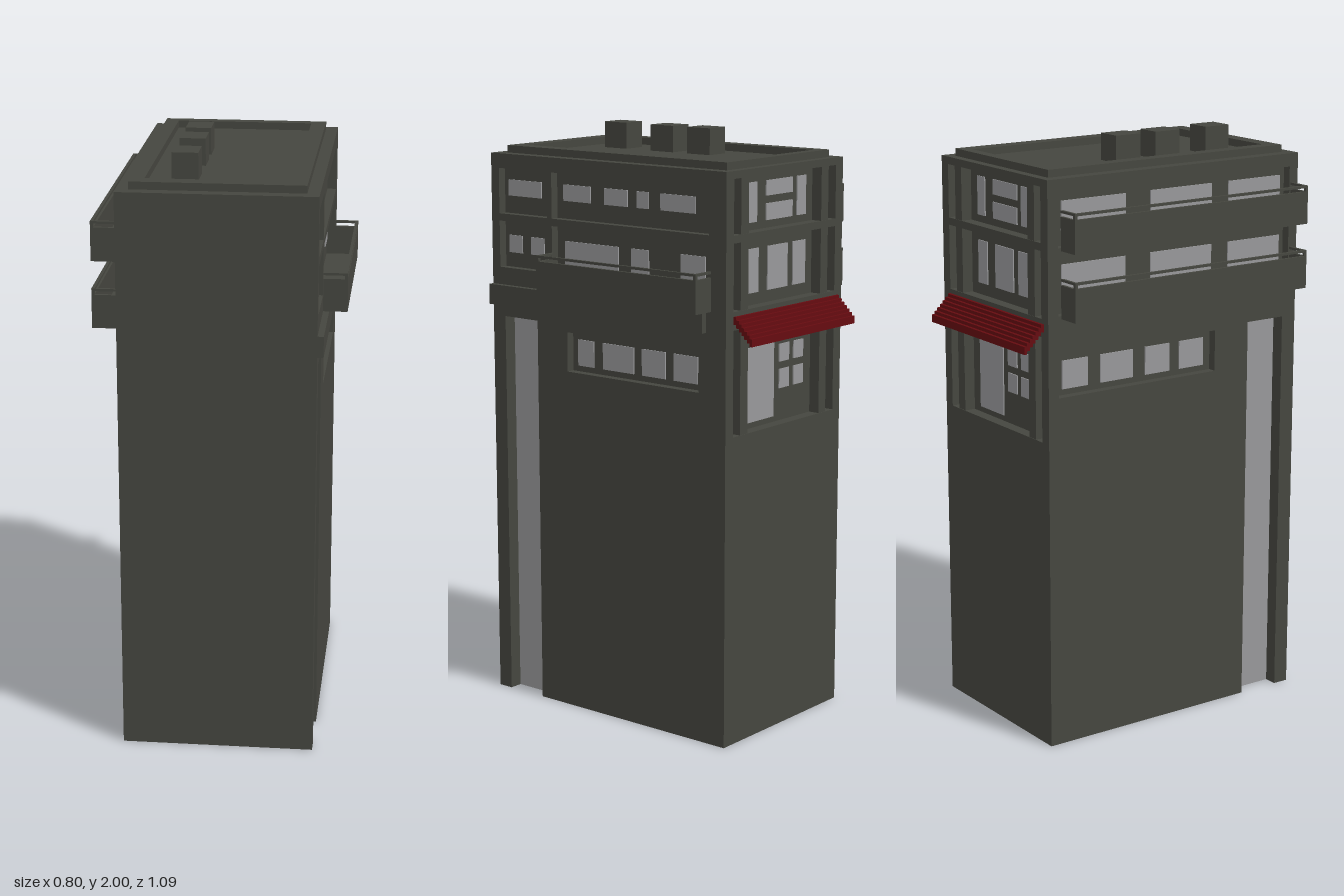
import * as THREE from 'three';

export function createModel() {
  const model = new THREE.Group();
  model.name = 'building';
  const material = (name, color) => {
    const m = new THREE.MeshStandardMaterial({ color, side: THREE.DoubleSide });
    m.name = name;
    return m;
  };
  const concrete = material('dark concrete', 0x45463f);
  const glass = material('grey glass', 0x98989a);
  const red = material('red awning', 0x650b10);

  const add = (parent, name, geo, mat) => {
    const mesh = new THREE.Mesh(geo, mat);
    mesh.name = name;
    parent.add(mesh);
    return mesh;
  };
  // Box given by its limits on each axis
  const box = (parent, name, x0, x1, y0, y1, z0, z1, mat = concrete) =>
    add(parent, name, new THREE.BoxGeometry(x1 - x0, y1 - y0, z1 - z0), mat)
      .position.set((x0 + x1) / 2, (y0 + y1) / 2, (z0 + z1) / 2);
  const rectPath = (P, u0, u1, v0, v1) => {
    const p = new P();
    p.moveTo(u0, v0); p.lineTo(u1, v0); p.lineTo(u1, v1); p.lineTo(u0, v1);
    p.closePath();
    return p;
  };
  // Niche: a box without its outer face (and without its floor if open below)
  const niche = (parent, u0, u1, v0, v1, d, openBelow) => {
    const geo = new THREE.BoxGeometry(u1 - u0, v1 - v0, d);
    const idx = Array.from(geo.index.array);
    geo.setIndex(idx.filter((_, i) => !(i >= 24 && i < 30) && !(openBelow && i >= 18 && i < 24)));
    geo.clearGroups();
    add(parent, 'recess', geo, concrete).position.set((u0 + u1) / 2, (v0 + v1) / 2, -d / 2);
  };
  const pane = (parent, u0, u1, v0, v1, d) =>
    box(parent, 'windowPane', u0, u1, v0, v1, -d, -d + 0.004, glass);

  const X = 0.32, BACK = -0.47, FRONT = 0.545, TOP = 1.91, D = 0.03;

  // Wall seen along its own outward +z: u across, v up, with recesses and a tall ground notch
  const wall = (name, u0, u1, recesses, notch) => {
    const g = new THREE.Group();
    g.name = name;
    const s = new THREE.Shape();
    s.moveTo(u0, 0);
    if (notch) {
      const [a, b, h] = notch;
      s.lineTo(a, 0); s.lineTo(a, h); s.lineTo(b, h); s.lineTo(b, 0);
      niche(g, a, b, 0, h, 0.05, true);
      pane(g, a, b, 0, h, 0.05);
    }
    s.lineTo(u1, 0); s.lineTo(u1, TOP); s.lineTo(u0, TOP);
    s.closePath();
    for (const { area, panes, depth = D } of recesses) {
      s.holes.push(rectPath(THREE.Path, ...area));
      niche(g, ...area, depth);
      for (const p of panes) pane(g, ...p, depth);
    }
    add(g, 'wallFace', new THREE.ShapeGeometry(s), concrete);
    model.add(g);
    return g;
  };
  const row = (v0, v1, spans) => spans.map(([a, b]) => [a, b, v0, v1]);

  // Balcony: floor, parapet on three sides and a thin rail on posts
  const balcony = (parent, u0, u1, y) => {
    const g = new THREE.Group();
    g.name = 'balcony';
    const w = 0.08, t = 0.01, h = y + 0.11, r = y + 0.13;
    box(g, 'balconyFloor', u0, u1, y, y + t, 0, w);
    for (const [name, a, b] of [['parapet', y, h], ['rail', r - 0.008, r]]) {
      box(g, name, u0, u1, a, b, w - t, w);
      box(g, name, u0, u0 + t, a, b, 0, w - t);
      box(g, name, u1 - t, u1, a, b, 0, w - t);
    }
    for (const a of [u0, u1 - t]) box(g, 'railPost', a, a + t, h, r, w - t, w);
    parent.add(g);
  };

  // Front wall, blank
  wall('frontWall', -X, X, []).position.z = FRONT;

  // Side wall on +x (u = -z)
  const side = wall('leftWall', -FRONT, -BACK, [
    { area: [-0.51, -0.29, 1.705, 1.86], panes: row(1.765, 1.82, [[-0.49, -0.34]]) },
    { area: [-0.27, 0.4, 1.705, 1.86],
      panes: row(1.765, 1.82, [[-0.24, -0.12], [-0.06, 0.04], [0.08, 0.13], [0.18, 0.325]]) },
    { area: [-0.51, -0.29, 1.52, 1.68], panes: row(1.57, 1.63, [[-0.49, -0.43], [-0.39, -0.33]]) },
    { area: [-0.27, 0.4, 1.47, 1.68],
      panes: row(1.53, 1.63, [[-0.235, 0], [0.055, 0.13], [0.265, 0.365]]) },
    { area: [-0.205, 0.36, 1.19, 1.325],
      panes: row(1.21, 1.3, [[-0.18, -0.11], [-0.07, 0.065], [0.1, 0.2], [0.235, 0.335]]) },
  ], [-0.49, -0.34, 1.35]);
  side.rotation.y = Math.PI / 2;
  side.position.x = X;
  box(side, 'ledge', -FRONT, 0.39, 1.39, 1.46, 0, 0.02);
  balcony(side, -0.27, 0.41, 1.46);

  // Side wall on -x (u = z)
  const other = wall('rightWall', BACK, FRONT, [
    { area: [-0.43, 0.51, 1.69, 1.865],
      panes: row(1.74, 1.835, [[-0.4, -0.15], [-0.05, 0.2], [0.27, 0.49]]) },
    { area: [-0.43, 0.51, 1.47, 1.66],
      panes: row(1.52, 1.63, [[-0.4, -0.15], [-0.05, 0.2], [0.27, 0.49]]) },
    { area: [-0.43, 0.2, 1.2, 1.34],
      panes: row(1.22, 1.315, [[-0.4, -0.3], [-0.25, -0.12], [-0.07, 0.03], [0.07, 0.17]]) },
  ], [0.34, 0.49, 1.35]);
  other.rotation.y = -Math.PI / 2;
  other.position.x = -X;
  for (const y of [1.46, 1.68]) balcony(other, -0.42, 0.525, y);

  // Back wall (u = -x) with three glazed storeys
  const back = wall('backWall', -X, X, [
    { area: [-0.28, 0.28, 1.705, 1.885], depth: 0.04, panes: [
      ...row(1.73, 1.86, [[-0.155, -0.11], [0.11, 0.16]]),
      [-0.06, 0.085, 1.81, 1.86], [-0.06, 0.085, 1.73, 1.785]] },
    { area: [-0.28, 0.28, 1.46, 1.68], depth: 0.04,
      panes: row(1.5, 1.645, [[-0.155, -0.1], [-0.05, 0.06], [0.09, 0.16]]) },
    { area: [-0.28, 0.28, 1.05, 1.4], depth: 0.04, panes: [
      [-0.155, -0.01, 1.07, 1.32],
      ...row(1.25, 1.31, [[0.02, 0.075], [0.1, 0.155]]),
      ...row(1.16, 1.225, [[0.02, 0.075], [0.1, 0.155]])] },
  ]);
  back.rotation.y = Math.PI;
  back.position.z = BACK;
  for (const s of [-1, 1])
    for (const [v0, v1] of [[1.705, 1.885], [1.46, 1.68], [1.05, 1.4]])
      box(back, 'pilaster', s * 0.22 - 0.02, s * 0.22 + 0.02, v0, v1, -0.04, -0.002);

  // Awning of overlapping stepped slats
  const awning = new THREE.Group();
  awning.name = 'awning';
  const n = 7, dz = 0.075 / n, dy = 0.075 / n;
  for (let i = 0; i < n; i++)
    box(awning, 'awningSlat', -0.28, 0.295, 1.43 - (i + 1) * dy, 1.445 - i * dy, i * dz, (i + 1) * dz, red);
  back.add(awning);

  // Roof with a raised rim and three vents
  box(model, 'roof', -X, X, TOP - 0.01, TOP, BACK, FRONT);
  const rim = rectPath(THREE.Shape, -0.28, 0.28, -0.505, 0.44);
  rim.holes.push(rectPath(THREE.Path, -0.235, 0.23, -0.455, 0.405));
  const rimMesh = add(model, 'roofRim', new THREE.ExtrudeGeometry(rim, { depth: 0.025, bevelEnabled: false }), concrete);
  rimMesh.rotation.x = -Math.PI / 2;
  rimMesh.position.y = TOP;
  for (const z of [-0.045, 0.115, 0.322])
    box(model, 'roofVent', -0.16, -0.075, TOP, 2, z - 0.049, z + 0.049);

  return model;
}
